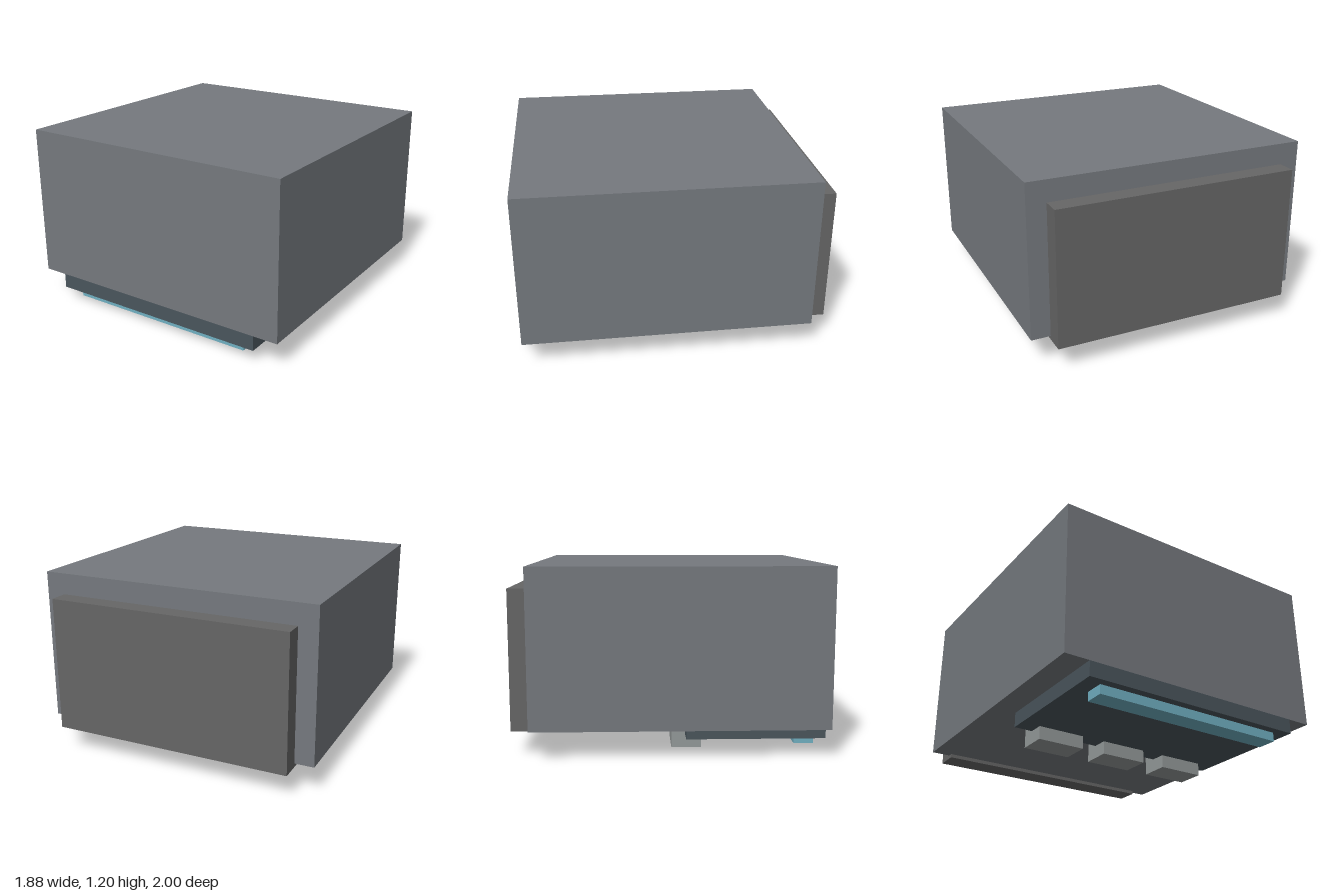
import * as THREE from 'three';

export function createModel() {
  const model = new THREE.Group();

  // Box given by its extents along each axis
  const addBox = (name, color, [x0, x1], [y0, y1], [z0, z1]) => {
    const mesh = new THREE.Mesh(
      new THREE.BoxGeometry(x1 - x0, y1 - y0, z1 - z0),
      new THREE.MeshStandardMaterial({ color })
    );
    mesh.position.set((x0 + x1) / 2, (y0 + y1) / 2, (z0 + z1) / 2);
    mesh.name = name;
    model.add(mesh);
  };

  // Main housing and the panel let into its back
  addBox('body', 0x75797e, [-0.94, 0.94], [0.185, 1.195], [-0.875, 1]);
  addBox('backPanel', 0x666666, [-0.813, 0.813], [0.16, 1.055], [-1, -0.837]);

  // Dark tray under the front half, with a coloured strip below it
  addBox('underTray', 0x4a555c, [-0.775, 0.775], [0.087, 0.185], [0.105, 1]);
  addBox('frontStrip', 0x70afc1, [-0.67, 0.67], [0.027, 0.1], [0.815, 0.945]);

  // Three blocks straddling the rear edge of the tray
  ['rightFoot', 'middleFoot', 'leftFoot'].forEach((name, i) => {
    const x = (i - 1) * 0.488;
    addBox(name, 0x949999, [x - 0.162, x + 0.162], [0, 0.132], [0.015, 0.21]);
  });

  return model;
}
